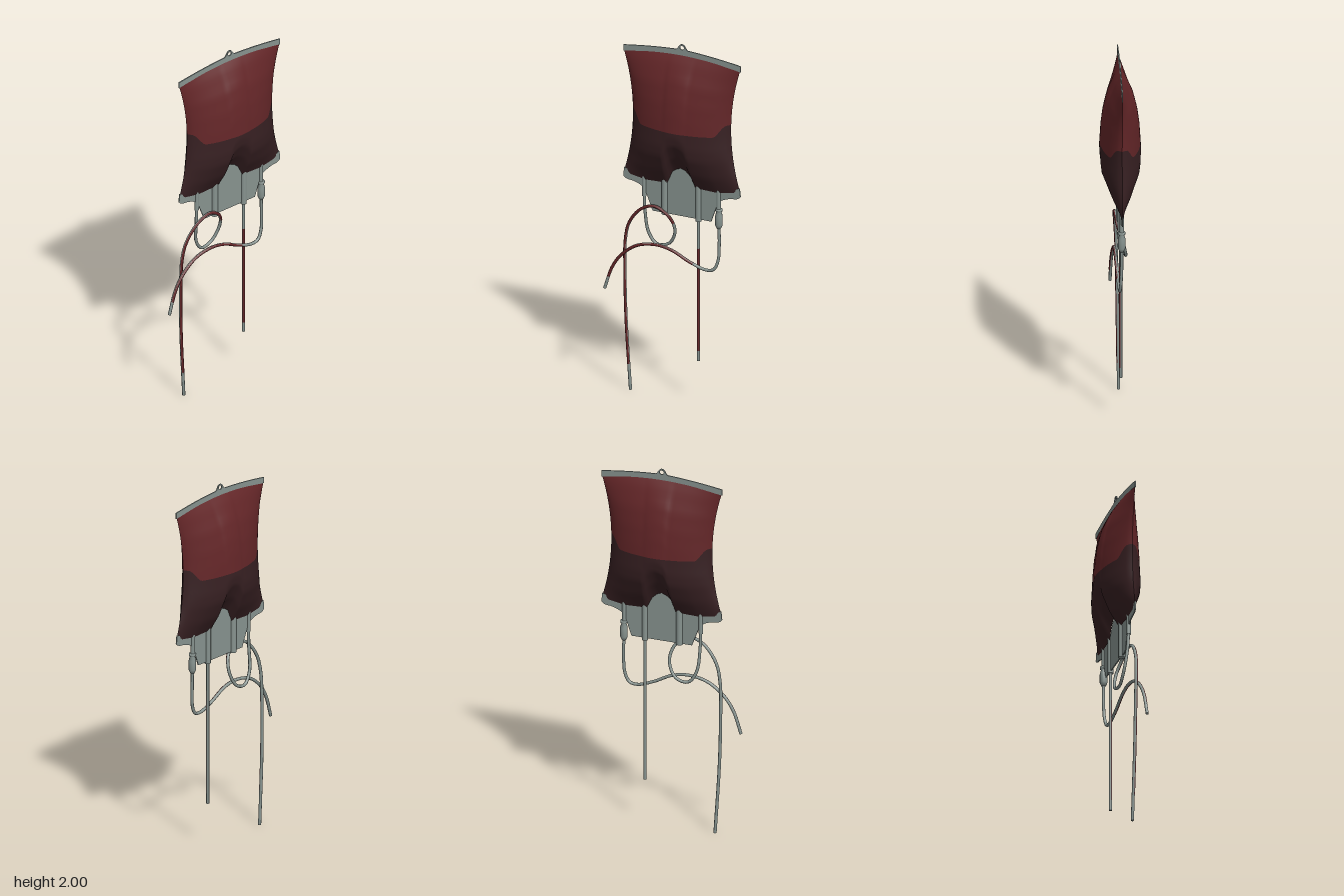
import * as THREE from 'three';

const mat = (name, color, side = THREE.FrontSide) => {
  const m = new THREE.MeshStandardMaterial({ color, side });
  m.name = name;
  return m;
};

// Piecewise-linear lookup through [position, value] pairs
function lookup(table, t) {
  for (let i = 1; i < table.length; i++) {
    const [a, va] = table[i - 1], [b, vb] = table[i];
    if (t <= b) return va + (vb - va) * Math.max(0, (t - a) / (b - a));
  }
  return table[table.length - 1][1];
}

const CX = 0.05; // the pouch hangs a little off centre
const DEPTH = [[0, 0.008], [0.05, 0.03], [0.12, 0.062], [0.25, 0.102], [0.33, 0.109],
  [0.53, 0.101], [0.66, 0.09], [0.8, 0.068], [0.95, 0.024], [1, 0.002]];
const BOTTOM = [[-1, 1.245], [-0.9, 1.22], [-0.6, 1.205], [-0.24, 1.21], [-0.16, 1.28], [-0.08, 1.298], [0, 1.305],
  [0.08, 1.295], [0.16, 1.27], [0.24, 1.21], [0.6, 1.205], [0.9, 1.22], [1, 1.245]];
const halfWidth = y => 0.285 + 0.055 * ((y - 1.57) / 0.35) ** 2;
const topEdge = u => 1.94 - 0.03 * u * u;
const bottomEdge = u => lookup(BOTTOM, u);
const fillLine = u => 1.535 + 0.065 * THREE.MathUtils.smoothstep(Math.abs(u), 0.72, 0.95);

// One bulging panel of the pouch between two height curves; side is +1 front, -1 back
function pouchPanel(from, to, side) {
  const nu = 50, nv = 16, pos = [], idx = [];
  for (let j = 0; j <= nv; j++) {
    for (let i = 0; i <= nu; i++) {
      const u = -1 + (2 * i) / nu;
      const y = THREE.MathUtils.lerp(from(u), to(u), j / nv);
      const v = (y - bottomEdge(u)) / (topEdge(u) - bottomEdge(u));
      const z = lookup(DEPTH, v) * Math.pow(Math.max(0, 1 - u * u), 0.7);
      pos.push(CX + u * halfWidth(y), y, side * z);
      if (i < nu && j < nv) {
        const a = j * (nu + 1) + i, b = a + nu + 1;
        if (side > 0) idx.push(a, a + 1, b + 1, a, b + 1, b);
        else idx.push(a, b + 1, a + 1, a, b, b + 1);
      }
    }
  }
  const g = new THREE.BufferGeometry();
  g.setAttribute('position', new THREE.Float32BufferAttribute(pos, 3));
  g.setIndex(idx);
  g.computeVertexNormals();
  return g;
}

export function createModel() {
  const group = new THREE.Group();
  group.name = 'fluidPouch';
  const red = mat('upper red', 0x642628);
  const dark = mat('settled dark red', 0x372022);
  const clear = mat('grey plastic', 0x87938f);

  const add = (name, geometry, material, parent = group) => {
    const m = new THREE.Mesh(geometry, material);
    m.name = name;
    parent.add(m);
    return m;
  };

  // Pouch: clear upper fluid over darker settled fluid
  for (const [side, label] of [[1, 'Front'], [-1, 'Back']]) {
    add('upperFluid' + label, pouchPanel(fillLine, topEdge, side), red);
    add('settledFluid' + label, pouchPanel(bottomEdge, fillLine, side), dark);
  }

  const plate = (name, shape) => {
    const g = new THREE.ExtrudeGeometry(shape, { depth: 0.006, bevelEnabled: false, curveSegments: 16 });
    g.translate(0, 0, -0.003);
    return add(name, g, clear);
  };

  // Sealed top hem with a small hanging eyelet
  const hem = new THREE.Shape();
  hem.moveTo(-0.29, 1.905);
  hem.quadraticCurveTo(CX, 1.965, 0.39, 1.905);
  hem.lineTo(0.39, 1.938);
  hem.quadraticCurveTo(0.23, 1.962, 0.085, 1.969);
  hem.bezierCurveTo(0.07, 1.975, 0.07, 2, CX, 2);
  hem.bezierCurveTo(0.03, 2, 0.03, 1.975, 0.015, 1.969);
  hem.quadraticCurveTo(-0.13, 1.962, -0.29, 1.938);
  hem.closePath();
  const eyelet = new THREE.Path();
  eyelet.absellipse(CX, 1.981, 0.012, 0.011, 0, Math.PI * 2, true);
  hem.holes.push(eyelet);
  plate('topHem', hem);

  // Sealed bottom flange with the tapered tab
  const tab = new THREE.Shape();
  tab.moveTo(-0.285, 1.25);
  tab.lineTo(-0.29, 1.205);
  tab.quadraticCurveTo(-0.28, 1.185, -0.24, 1.185);
  tab.quadraticCurveTo(-0.19, 1.175, -0.165, 1.15);
  tab.lineTo(-0.12, 1.036);
  tab.lineTo(0.22, 1.036);
  tab.lineTo(0.26, 1.15);
  tab.quadraticCurveTo(0.29, 1.175, 0.34, 1.185);
  tab.quadraticCurveTo(0.38, 1.185, 0.39, 1.205);
  tab.lineTo(0.385, 1.25);
  tab.lineTo(0.3, 1.222);
  tab.lineTo(0.14, 1.222);
  tab.quadraticCurveTo(0.11, 1.31, CX, 1.31);
  tab.quadraticCurveTo(-0.01, 1.31, -0.04, 1.222);
  tab.lineTo(-0.2, 1.222);
  tab.closePath();
  plate('bottomFlange', tab);

  // Ports: x, top, bottom, radius
  const rod = (name, x, top, bottom, r, rTop = r) => {
    const g = new THREE.CylinderGeometry(rTop, r, top - bottom, 14);
    g.translate(x, (top + bottom) / 2, 0);
    return add(name, g, clear);
  };
  rod('donorPort', -0.17, 1.235, 1.11, 0.012);
  rod('sealedPort', -0.05, 1.235, 1.03, 0.018);
  rod('outletPort', 0.145, 1.235, 1.025, 0.016);
  rod('connectorPort', 0.262, 1.225, 1.1, 0.012);

  // Moulded connector on the outer port
  const profile = [[0, 1.115], [0.019, 1.115], [0.019, 1.103], [0.013, 1.1], [0.02, 1.075],
    [0.02, 1.025], [0.011, 1.005], [0, 1.005]].reverse().map(p => new THREE.Vector2(...p));
  add('connector', new THREE.LatheGeometry(profile, 14), clear).position.x = 0.264;

  // Hoses: plastic wall plus a fluid core that shows along the front
  const R = 0.0085;
  function hose(name, points, t0, t1) {
    const curve = new THREE.CatmullRomCurve3(points.map(p => new THREE.Vector3(...p)));
    const hoseGroup = new THREE.Group();
    hoseGroup.name = name;
    group.add(hoseGroup);
    add(name + 'Wall', new THREE.TubeGeometry(curve, 90, R, 8), clear, hoseGroup);
    const part = [];
    for (let i = 0; i <= 60; i++) part.push(curve.getPointAt(t0 + ((t1 - t0) * i) / 60));
    const core = new THREE.TubeGeometry(new THREE.CatmullRomCurve3(part), 90, R * 0.92, 8);
    add(name + 'Fluid', core, red, hoseGroup).position.z = 0.002;
    // End caps
    for (const [t, dir] of [[0, -1], [1, 1]]) {
      const cap = add(name + 'Cap', new THREE.CircleGeometry(R, 8), clear, hoseGroup);
      cap.position.copy(curve.getPointAt(t));
      cap.quaternion.setFromUnitVectors(new THREE.Vector3(0, 0, 1), curve.getTangentAt(t).multiplyScalar(dir));
    }
  }

  hose('loopedHose', [[-0.17, 1.13, 0], [-0.168, 1.03, -0.005], [-0.155, 0.9, -0.022], [-0.11, 0.838, -0.03],
    [-0.04, 0.855, -0.034], [0, 0.94, -0.018], [-0.025, 1.025, 0.008], [-0.1, 1.07, 0.02], [-0.18, 1.04, 0.02],
    [-0.25, 0.95, 0.014], [-0.275, 0.85, 0.008], [-0.28, 0.7, 0.004], [-0.275, 0.4, 0], [-0.252, 0.004, -0.005]],
  0.29, 0.92);
  hose('trailingHose', [[0.264, 1.02, 0], [0.266, 0.92, 0], [0.26, 0.82, 0.004], [0.235, 0.77, 0.008],
    [0.19, 0.762, 0.01], [0.1, 0.792, 0.014], [0, 0.84, 0.018], [-0.09, 0.855, 0.02], [-0.2, 0.833, 0.022],
    [-0.29, 0.765, 0.027], [-0.34, 0.69, 0.031], [-0.382, 0.566, 0.035]], 0.36, 0.93);
  hose('straightHose', [[0.145, 1.05, 0], [0.145, 0.64, 0], [0.145, 0.24, 0]], 0.22, 0.93);

  return group;
}
